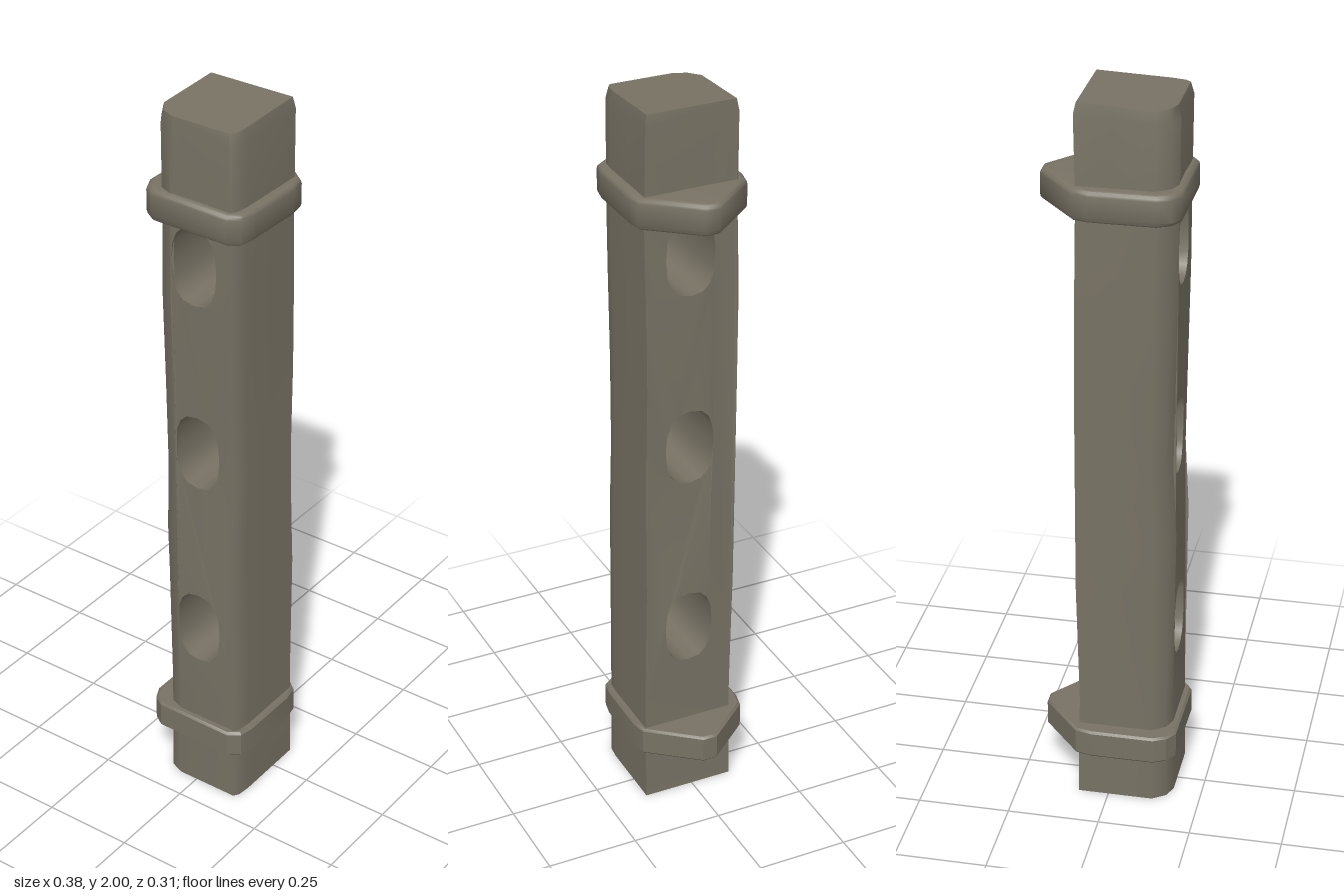
import * as THREE from 'three';
import { toCreasedNormals } from 'three/addons/utils/BufferGeometryUtils.js';

const wood = new THREE.MeshStandardMaterial({ color: 0x787264, side: THREE.DoubleSide });
wood.name = 'weathered grey wood';

// edge positions of the hewn post by height: y, left x, right x, back z, front z
const PROFILE = [
  [0, -0.172, 0.083, -0.115, 0.138],
  [0.3, -0.168, 0.078, -0.115, 0.137],
  [0.65, -0.17, 0.086, -0.119, 0.134],
  [0.8, -0.172, 0.081, -0.121, 0.132],
  [1.0, -0.162, 0.077, -0.123, 0.13],
  [1.25, -0.166, 0.085, -0.125, 0.128],
  [1.5, -0.17, 0.082, -0.128, 0.129],
  [1.7, -0.17, 0.077, -0.125, 0.13],
  [1.97, -0.172, 0.082, -0.124, 0.127],
  [2.0, -0.164, 0.076, -0.12, 0.122],
];

function profileAt(y) {
  let i = 0;
  while (i < PROFILE.length - 2 && y > PROFILE[i + 1][0]) i++;
  const a = PROFILE[i], b = PROFILE[i + 1];
  const t = Math.min(1, Math.max(0, (y - a[0]) / (b[0] - a[0])));
  return a.map((v, k) => v + (b[k] - v) * t);
}

// rounded slot outline
function slot(cz, cy) {
  const points = [];
  for (let i = 0; i < 16; i++) {
    const a = (i / 16) * Math.PI * 2, c = Math.cos(a), s = Math.sin(a);
    points.push(new THREE.Vector2(
      -cz + 0.068 * Math.sign(c) * Math.abs(c) ** 0.75,
      cy + 0.106 * Math.sign(s) * Math.abs(s) ** 0.8));
  }
  return new THREE.Path(points);
}

function createPost() {
  // side outline with three slots, extruded from left to right
  const outline = [
    ...PROFILE.map(p => new THREE.Vector2(-p[3], p[0])),
    ...PROFILE.map(p => new THREE.Vector2(-p[4], p[0])).reverse(),
  ];
  const shape = new THREE.Shape(outline);
  shape.holes.push(slot(0.01, 0.52), slot(0.006, 1.067), slot(0.004, 1.605));
  const geo = new THREE.ExtrudeGeometry(shape, { depth: 1, steps: 4, bevelEnabled: false });
  geo.rotateY(Math.PI / 2);

  // leave the foot open, then shape the cross-section
  const src = geo.attributes.position;
  const across = [0, 0.06, 0.2, 0.6, 1];
  const backInset = [0.06, 0.024, 0, 0, 0];
  const frontInset = [0.014, 0.004, 0, 0, 0];
  const out = [];
  for (let i = 0; i < src.count; i += 3) {
    if ([0, 1, 2].every(k => src.getY(i + k) < 0.001)) continue;
    for (let k = 0; k < 3; k++) {
      const y = src.getY(i + k);
      let z = src.getZ(i + k);
      const level = Math.round(src.getX(i + k) * 4);
      const [, left, right] = profileAt(y);
      const x = left + (right - left) * across[level];
      if (z < -0.09) z += backInset[level];
      if (z > 0.09) z -= frontInset[level];
      out.push(x, y > 1.9 ? y + (x - 0.08) * 0.04 : y, z);
    }
  }
  const post = new THREE.BufferGeometry();
  post.setAttribute('position', new THREE.Float32BufferAttribute(out, 3));
  return toCreasedNormals(post, 0.65);
}

// pointed collar wrapped around the post
function createCollar(y0, y1, bevel, segments, crease) {
  const toPoints = list => list.map(([x, z]) => new THREE.Vector2(x, -z));
  const shape = new THREE.Shape(toPoints([
    [-0.186, -0.11], [-0.165, -0.141], [-0.13, -0.158], [0.04, -0.158],
    [0.083, -0.148], [0.189, -0.024], [0.189, 0.016], [0.083, 0.147],
    [0.04, 0.155], [-0.125, 0.154], [-0.166, 0.146], [-0.189, 0.115],
  ]));
  shape.holes.push(new THREE.Path(toPoints([
    [-0.155, -0.045], [-0.1, -0.11], [0.07, -0.11], [0.07, 0.115], [-0.155, 0.108],
  ])));
  const geo = new THREE.ExtrudeGeometry(shape, {
    depth: y1 - y0 - 2 * bevel, bevelThickness: bevel, bevelSize: bevel,
    bevelOffset: -bevel, bevelSegments: segments,
  });
  geo.rotateX(-Math.PI / 2).translate(0, y0 + bevel, 0);
  return toCreasedNormals(geo, crease);
}

export function createModel() {
  const model = new THREE.Group();
  model.name = 'slottedPost';
  const add = (name, geometry) => {
    const mesh = new THREE.Mesh(geometry, wood);
    mesh.name = name;
    model.add(mesh);
  };
  add('post', createPost());
  add('lowerCollar', createCollar(0.145, 0.224, 0.006, 1, 0.5));
  add('upperCollar', createCollar(1.704, 1.788, 0.014, 3, 0.8));
  return model;
}
